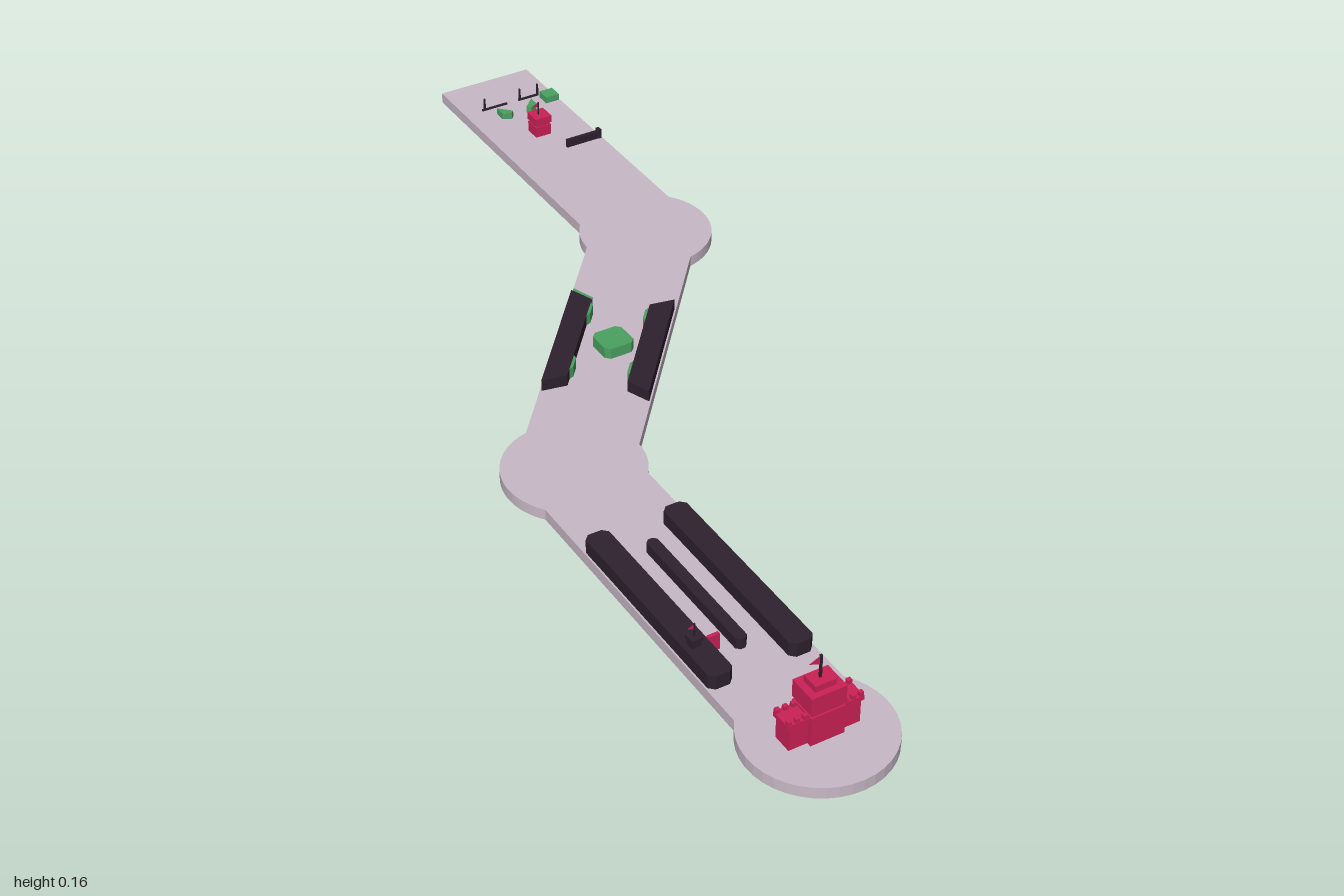
import * as THREE from 'three';

const mat = (name, color) => Object.assign(new THREE.MeshStandardMaterial({ color }), { name });

export function createModel() {
  const stone = mat('pale stone', 0xc8b9c6);
  const dark = mat('dark rock', 0x2d212d);
  const red = mat('crimson', 0xcb2156);
  const green = mat('leaf green', 0x4ba261);
  const flagRed = mat('flag crimson', 0xcb2156);
  flagRed.side = THREE.DoubleSide;
  const model = new THREE.Group();
  const TOP = 0.02;

  const add = (parent, name, geo, material) => {
    const mesh = new THREE.Mesh(geo, material);
    mesh.name = name;
    parent.add(mesh);
    return mesh;
  };
  // box given by its centre in plan and its bottom and top heights
  const box = (parent, name, material, x, z, w, d, y0, y1) => {
    const m = add(parent, name, new THREE.BoxGeometry(w, y1 - y0, d), material);
    m.position.set(x, (y0 + y1) / 2, z);
    return m;
  };
  // upright prism from a plan outline in x, z
  const prism = (parent, name, material, shape, y0, y1) => {
    const geo = new THREE.ExtrudeGeometry(shape, { depth: y1 - y0, bevelEnabled: false, curveSegments: 14 });
    geo.rotateX(Math.PI / 2).translate(0, y1, 0);
    return add(parent, name, geo, material);
  };
  const plan = (pts) => new THREE.Shape(pts.map(([x, z]) => new THREE.Vector2(x, z)));
  const chamfered = (x, z, w, d, c) => {
    const a = w / 2, b = d / 2;
    return plan([[-a + c, -b], [a - c, -b], [a, -b + c], [a, b - c], [a - c, b], [-a + c, b], [-a, b - c], [-a, -b + c]]
      .map(([u, v]) => [x + u, z + v]));
  };
  // pole with a triangular pennant pointing to -x
  const flag = (parent, x, z, y0, y1, size) => {
    box(parent, 'flagPole', dark, x, z, size * 0.18, size * 0.18, y0, y1);
    const s = new THREE.Shape([
      new THREE.Vector2(x, y1 - size * 0.05), new THREE.Vector2(x - size, y1 - size * 0.5), new THREE.Vector2(x, y1 - size * 0.95)]);
    add(parent, 'flag', new THREE.ShapeGeometry(s), flagRed).position.z = z;
  };

  // ground: one outline running round three discs joined by straight lanes
  const A = [-0.23, 0.88], B = [-0.23, 0.17], C = [0.225, -0.375], R = 0.12;
  const rad = THREE.MathUtils.degToRad;
  const ground = new THREE.Shape();
  const arc = (c, from, to) => ground.absarc(c[0], c[1], R, rad(from), rad(to), false);
  arc(A, -38.4, 218.4);
  arc(B, 141.6, 258.3);
  arc(C, 181.5, 218.4);
  ground.lineTo(0.131, -1);
  ground.lineTo(0.319, -1);
  arc(C, -38.4, 78.3);
  arc(B, 1.5, 38.4);
  ground.closePath();
  prism(model, 'ground', stone, ground, 0, TOP);

  // castle on the front disc
  const castle = new THREE.Group();
  castle.name = 'castle';
  castle.position.set(-0.23, 0, 0.88);
  model.add(castle);
  box(castle, 'keepBase', red, 0, 0, 0.058, 0.05, TOP, 0.072);
  box(castle, 'keepWaist', red, 0, 0, 0.052, 0.044, 0.072, 0.078);
  box(castle, 'keepUpper', red, 0, 0, 0.06, 0.05, 0.078, 0.109);
  box(castle, 'keepRoof', red, 0, 0, 0.036, 0.03, 0.109, 0.12);
  for (const s of [-1, 1]) {
    box(castle, 'wing', red, s * 0.044, 0, 0.034, 0.034, TOP, 0.061);
    box(castle, 'wingParapet', red, s * 0.047, 0, 0.036, 0.038, 0.061, 0.069);
    for (let i = 0; i < 3; i++)
      for (const z of [-0.015, 0.015])
        box(castle, 'merlon', red, s * (0.034 + i * 0.0135), z, 0.007, 0.007, 0.069, 0.076);
    box(castle, 'keepWindow', dark, s * 0.013, -0.0255, 0.01, 0.002, 0.086, 0.1);
  }
  box(castle, 'gate', dark, 0, -0.0255, 0.024, 0.002, TOP, 0.05);
  flag(castle, 0, 0, 0.12, 0.161, 0.02);

  // lane walls behind the castle
  for (const x of [-0.3, -0.16])
    prism(model, 'laneWall', dark, chamfered(x, 0.548, 0.042, 0.376, 0.009), TOP, 0.045);
  prism(model, 'laneDivider', dark, chamfered(-0.23, 0.545, 0.02, 0.27, 0.006), TOP, 0.039);

  // watch tower set in the lane wall, with a banner beside it
  const watch = new THREE.Group();
  watch.name = 'watchTower';
  model.add(watch);
  box(watch, 'watchBody', dark, -0.303, 0.66, 0.016, 0.016, 0.045, 0.056);
  box(watch, 'watchParapet', dark, -0.303, 0.66, 0.02, 0.02, 0.056, 0.062);
  box(watch, 'banner', red, -0.27, 0.66, 0.02, 0.006, TOP, 0.05);
  flag(watch, -0.303, 0.66, 0.062, 0.086, 0.013);

  // slanted walls along the diagonal lane: d runs along it, n across it
  const diag = (d, n) => [-0.0025 + 0.641 * d + 0.768 * n, -0.1025 - 0.768 * d + 0.641 * n];
  const quad = (d0, d1, d2, d3, n0, n1) => plan([diag(d0, n0), diag(d1, n0), diag(d2, n1), diag(d3, n1)]);
  for (const s of [-1, 1]) {
    prism(model, 'diagonalWall', dark, quad(-0.162, 0.111, 0.089, -0.14, s * 0.091, s * 0.051), TOP, 0.041);
    for (const d of [-0.105, 0.055])
      prism(model, 'wallShrub', green, quad(d - 0.016, d + 0.026, d + 0.018, d - 0.008, s * 0.051, s * 0.046), TOP, 0.04);
  }
  prism(model, 'wallEndShrub', green, quad(0.111, 0.117, 0.095, 0.089, -0.088, -0.051), TOP, 0.041);
  prism(model, 'centreShrub', green, chamfered(-0.01, -0.085, 0.056, 0.056, 0.008), TOP, 0.04);

  // outpost on the back lane
  const outpost = new THREE.Group();
  outpost.name = 'outpost';
  model.add(outpost);
  box(outpost, 'outpostBase', red, 0.226, -0.775, 0.032, 0.032, TOP, 0.041);
  box(outpost, 'outpostWaist', red, 0.226, -0.775, 0.028, 0.028, 0.041, 0.046);
  box(outpost, 'outpostTop', red, 0.226, -0.775, 0.034, 0.034, 0.046, 0.06);
  flag(outpost, 0.224, -0.775, 0.06, 0.086, 0.012);
  box(outpost, 'barrier', dark, 0.28, -0.7, 0.074, 0.006, TOP, 0.036);
  box(outpost, 'barrierPost', dark, 0.314, -0.702, 0.007, 0.012, TOP, 0.038);

  // shrubs and low fence at the far end
  prism(outpost, 'shrub', green, plan([[0.187, -0.875], [0.21, -0.852], [0.203, -0.845], [0.187, -0.853]]), TOP, 0.033);
  prism(outpost, 'shrub', green, plan([[0.262, -0.875], [0.239, -0.852], [0.246, -0.845], [0.262, -0.853]]), TOP, 0.033);
  box(outpost, 'shrub', green, 0.303, -0.877, 0.028, 0.028, TOP, 0.033);
  for (const [x0, x1] of [[0.168, 0.222], [0.247, 0.288]])
    box(outpost, 'fenceRail', dark, (x0 + x1) / 2, -0.9, x1 - x0, 0.004, TOP, 0.023);
  for (const x of [0.173, 0.25, 0.289])
    box(outpost, 'fencePost', dark, x, -0.9, 0.003, 0.004, TOP, 0.045);

  return model;
}
